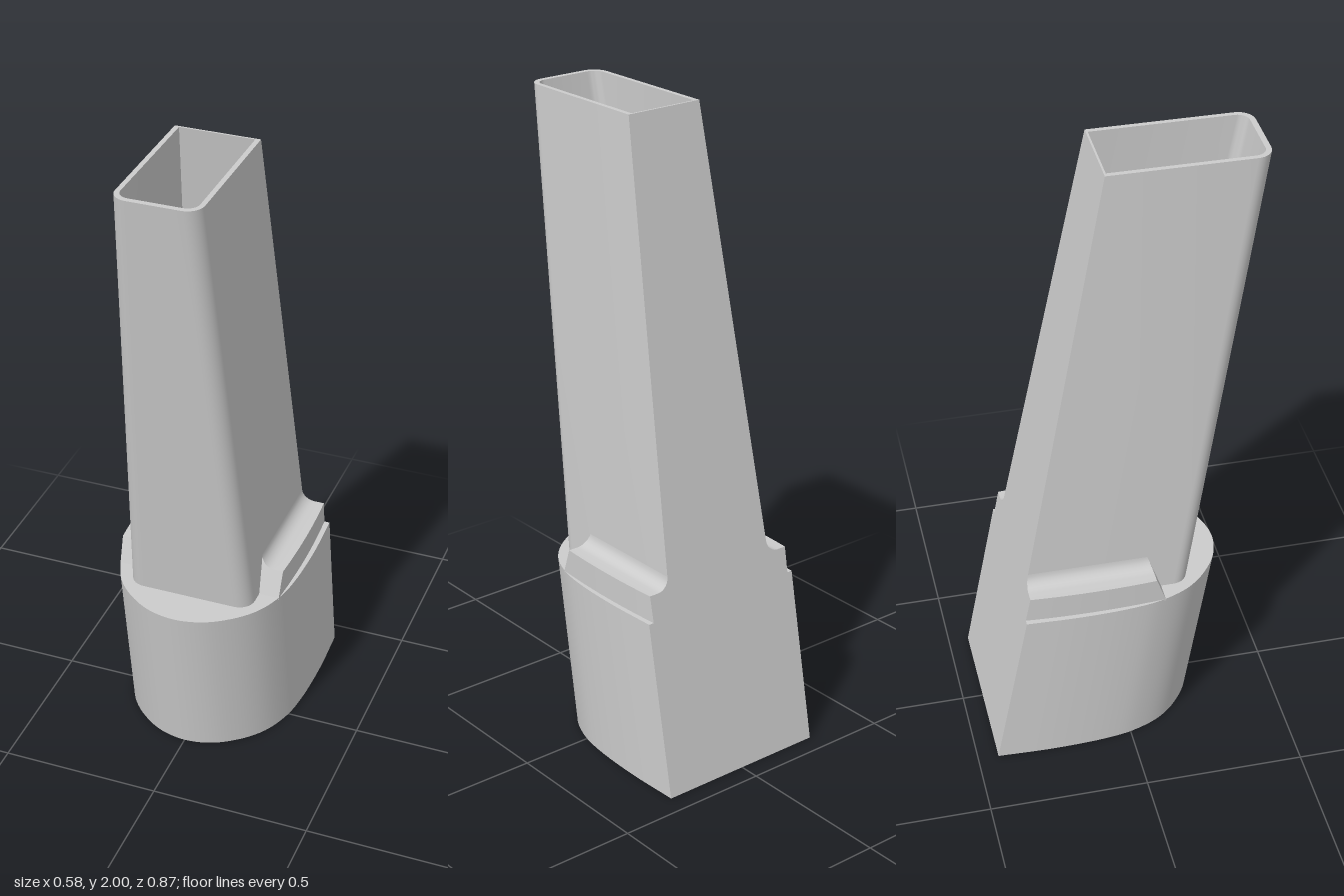
import * as THREE from 'three';
import { toCreasedNormals } from 'three/addons/utils/BufferGeometryUtils.js';

const BASE_TOP = 0.545, TOP = 2, FLOOR = 0.46;
const mix = THREE.MathUtils.lerp;
const V = (x, y, z) => new THREE.Vector3(x, y, z);

// Leaning planes shared by the parts
const backZ = (y) => -0.435 + 0.1925 * y;
const stemFrontZ = (y) => 0.2 + 0.1615 * (y - BASE_TOP);

// Skin between two rings of equal length; flip turns it inside out
function skin(out, a, b, flip = false) {
  for (let i = 0; i < a.length; i++) {
    const j = (i + 1) % a.length;
    const quad = [a[i], b[i], b[j], a[i], b[j], a[j]];
    out.push(...(flip ? quad.reverse() : quad));
  }
}

// Flat cap, optionally with a hole, facing the given direction
function cap(out, ring, facing, hole = []) {
  const flat = (p) => (facing.y ? new THREE.Vector2(p.x, -p.z) : new THREE.Vector2(p.x, p.y));
  const all = [...ring, ...hole];
  const faces = THREE.ShapeUtils.triangulateShape(ring.map(flat), hole.length ? [hole.map(flat)] : []);
  for (const f of faces) {
    const [a, b, c] = f.map((i) => all[i]);
    const n = b.clone().sub(a).cross(c.clone().sub(a));
    out.push(...(n.dot(facing) > 0 ? [a, b, c] : [a, c, b]));
  }
}

function part(name, points, material) {
  const g = new THREE.BufferGeometry().setFromPoints(points);
  const mesh = new THREE.Mesh(toCreasedNormals(g, 0.5), material);
  mesh.name = name;
  return mesh;
}

// Base outline: straight back, bowed sides and round nose (half width, fraction of depth)
const half = [[0.282, 0], [0.288, 0.27], [0.281, 0.52], [0.265, 0.66], [0.225, 0.8], [0.165, 0.9], [0.085, 0.975]];
const baseCurve = new THREE.CatmullRomCurve3([
  ...half.map(([x, u]) => V(x, 0, u)),
  V(0, 0, 1),
  ...half.map(([x, u]) => V(-x, 0, u)).reverse(),
]);
const baseOutline = baseCurve.getPoints(70);
const baseRing = (y) =>
  baseOutline.map((p) => V(p.x, y, mix(backZ(y), 0.24 + 0.156 * y, p.z)));

// Stem section: square back corners, rounded front corners
function stemRing(y, side = 0, front = 0, back = 0, r = 0.05) {
  const w = 0.2 - 0.0483 * (y - BASE_TOP) - side;
  const zf = stemFrontZ(y) - front, zb = backZ(y) + back;
  const right = [V(w, y, zb)];
  for (let i = 0; i <= 8; i++) {
    const a = (i / 8) * Math.PI / 2;
    right.push(V(w - r + r * Math.cos(a), y, zf - r + r * Math.sin(a)));
  }
  return [...right, ...right.map((p) => V(-p.x, y, p.z)).reverse()];
}
const innerRing = (y) => stemRing(y, 0.015, 0.017, 0.006, 0.035);

// Shoulder: ledge beside the stem, blended into it by a small fillet
function shoulder(s) {
  const outer = (z) => 0.273 - 0.18 * (z + 0.115) ** 2;
  const profile = [[0.19, 0.54], [null, 0.54], [null, 0.627], [0.235, 0.627]];
  for (let i = 1; i <= 6; i++) {
    const a = (i / 6) * Math.PI / 2;
    profile.push([0.235 - 0.041 * Math.sin(a), 0.667 - 0.04 * Math.cos(a)]);
  }
  profile.push([0.19, 0.667]);
  const rings = [];
  for (let k = 0; k <= 12; k++) {
    rings.push(profile.map(([x, y]) => {
      const z = mix(backZ(y), 0.11 - 0.36 * (y - BASE_TOP), k / 12);
      return V(s * (x ?? outer(z)), y, z);
    }));
  }
  const out = [];
  for (let k = 0; k < 12; k++) skin(out, rings[k], rings[k + 1], s > 0);
  cap(out, rings[0], V(0, 0, -1));
  cap(out, rings[12], V(0, 0, 1));
  return out;
}

export function createModel() {
  const group = new THREE.Group();
  group.name = 'leaningSocket';
  const material = new THREE.MeshStandardMaterial({ color: 0xcccccc });
  const up = V(0, 1, 0), down = V(0, -1, 0);

  // Base block, open where the stem enters
  const base = [];
  skin(base, baseRing(0), baseRing(BASE_TOP));
  cap(base, baseRing(0), down);
  cap(base, baseRing(BASE_TOP), up, stemRing(BASE_TOP));
  group.add(part('base', base, material));

  // Hollow tapering stem with a thin rim
  const stem = [];
  skin(stem, stemRing(BASE_TOP), stemRing(TOP));
  cap(stem, stemRing(TOP), up, innerRing(TOP));
  group.add(part('stem', stem, material));

  // Cavity walls and floor
  const cavity = [];
  skin(cavity, innerRing(FLOOR), innerRing(TOP), true);
  cap(cavity, innerRing(FLOOR), up);
  group.add(part('cavity', cavity, material));

  // Ledges on both sides
  group.add(part('leftShoulder', shoulder(1), material));
  group.add(part('rightShoulder', shoulder(-1), material));
  return group;
}
